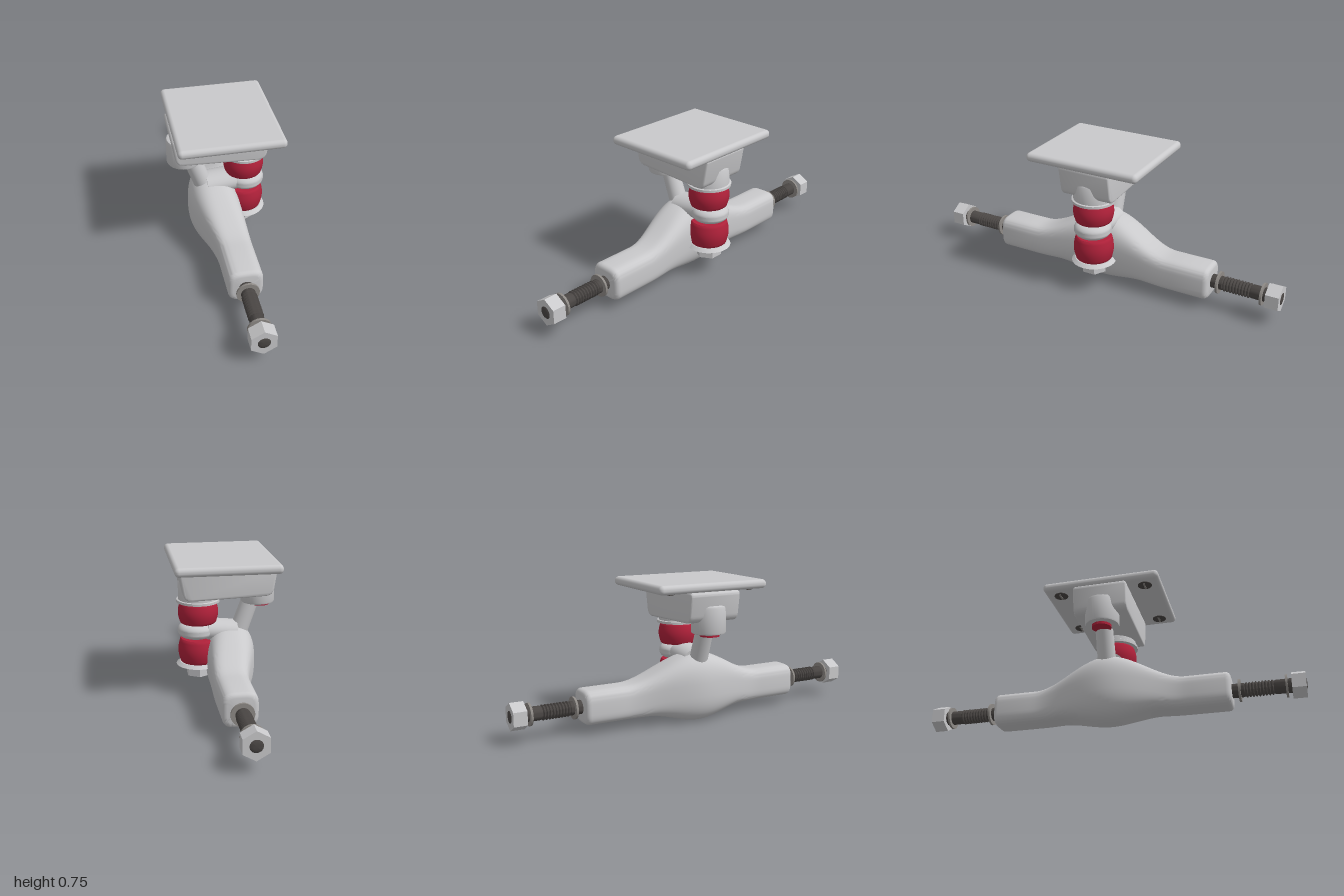
import * as THREE from 'three';
import { toCreasedNormals } from 'three/addons/utils/BufferGeometryUtils.js';
import { RoundedBoxGeometry } from 'three/addons/geometries/RoundedBoxGeometry.js';

const material = (name, color) => {
  const m = new THREE.MeshStandardMaterial({ color });
  m.name = name;
  return m;
};

// Polygon outline with rounded corners; each point is [x, y, radius]
function roundedShape(points) {
  const shape = new THREE.Shape();
  const v = points.map((p) => new THREE.Vector2(p[0], p[1]));
  points.forEach((p, i) => {
    const prev = v[(i + v.length - 1) % v.length], next = v[(i + 1) % v.length];
    const a = v[i].clone().add(prev.clone().sub(v[i]).setLength(p[2]));
    const b = v[i].clone().add(next.clone().sub(v[i]).setLength(p[2]));
    if (i === 0) shape.moveTo(a.x, a.y); else shape.lineTo(a.x, a.y);
    shape.quadraticCurveTo(v[i].x, v[i].y, b.x, b.y);
  });
  shape.closePath();
  return shape;
}

// Turned part from [radius, height] pairs, listed bottom to top
const turned = (pairs, segments = 40) => toCreasedNormals(
  new THREE.LatheGeometry(pairs.map(([r, y]) => new THREE.Vector2(r, y)), segments), 0.6);

const smooth = (t) => THREE.MathUtils.smoothstep(t, 0, 1);

// Hanger body: rounded square ends swelling into a tall oval middle
function hangerGeometry() {
  const N = 56, half = 0.63, bevel = 0.025;
  const stations = [[-half, 0], [-half, 0.74]];
  for (let k = 1; k <= 4; k++) {
    const a = (k / 4) * Math.PI / 2;
    stations.push([-half + bevel * (1 - Math.cos(a)), 0.74 + 0.26 * Math.sin(a)]);
  }
  for (let k = 0; k <= 40; k++) stations.push([-0.44 + 0.022 * k, 1]);
  for (let k = 5; k >= 0; k--) stations.push([-stations[k][0], stations[k][1]]);
  const pos = [], index = [];
  stations.forEach(([z, s]) => {
    const t = smooth(1 - Math.abs(z) / 0.4), b = smooth(1 - Math.abs(z) / 0.28);
    const x0 = -0.08 - 0.09 * t, x1 = 0.098 - 0.004 * t;
    const y0 = 0.052 - 0.05 * b, y1 = 0.23 + 0.14 * t;
    const e = 2 / (3.8 - 1.2 * t);
    for (let j = 0; j <= N; j++) {
      const a = (j / N) * Math.PI * 2, c = Math.cos(a), d = Math.sin(a);
      pos.push((x0 + x1) / 2 + s * (x1 - x0) / 2 * Math.sign(c) * Math.abs(c) ** e,
        (y0 + y1) / 2 + s * (y1 - y0) / 2 * Math.sign(d) * Math.abs(d) ** e, z);
    }
  });
  for (let i = 0; i < stations.length - 1; i++) {
    for (let j = 0; j < N; j++) {
      const a = i * (N + 1) + j, c = a + N + 1;
      index.push(a, a + 1, c, a + 1, c + 1, c);
    }
  }
  const g = new THREE.BufferGeometry();
  g.setAttribute('position', new THREE.Float32BufferAttribute(pos, 3));
  g.setIndex(index);
  return toCreasedNormals(g, 0.8);
}

export function createModel() {
  const metal = material('cast metal', 0xc9c9cb);
  const red = material('red rubber', 0xb0213a);
  const dark = material('dark steel', 0x4a4644);
  const washerGrey = material('washer grey', 0x8e8a86);
  const model = new THREE.Group();
  model.name = 'truck';

  const add = (name, geometry, mat, x = 0, y = 0, z = 0, parent = model) => {
    const mesh = new THREE.Mesh(geometry, mat);
    mesh.name = name;
    mesh.position.set(x, y, z);
    parent.add(mesh);
    return mesh;
  };
  // Round bar between two points
  const bar = (name, from, to, r0, r1, mat) => {
    const a = new THREE.Vector3(...from), b = new THREE.Vector3(...to);
    const dir = b.clone().sub(a);
    const mid = a.clone().add(b).multiplyScalar(0.5);
    const mesh = add(name, new THREE.CylinderGeometry(r1, r0, dir.length(), 32), mat, mid.x, mid.y, mid.z);
    mesh.quaternion.setFromUnitVectors(new THREE.Vector3(0, 1, 0), dir.normalize());
    return mesh;
  };

  // Mounting plate and bolts
  add('mountingPlate', new RoundedBoxGeometry(0.54, 0.047, 0.626, 4, 0.022), metal, 0.009, 0.7335, 0);
  for (const x of [-0.184, 0.201]) {
    for (const z of [-0.23, 0.23]) {
      add('plateBolt', turned([[0, 0], [0.03, 0], [0.037, 0.004], [0.037, 0.012]], 24), dark, x, 0.703, z);
      add('boltSlot', new THREE.BoxGeometry(0.056, 0.003, 0.01), washerGrey, x, 0.7025, z);
    }
  }

  // Tapered base block
  const bevel = 0.012;
  const block = new THREE.ExtrudeGeometry(roundedShape([
    [-0.256, 0.7, 0.01], [-0.235, 0.567, 0.03], [0.205, 0.551, 0.03], [0.233, 0.7, 0.01],
  ]), { depth: 0.286 - 2 * bevel, bevelSize: bevel, bevelThickness: bevel, bevelSegments: 4, curveSegments: 6 });
  block.translate(0, 0, -0.143 + bevel);
  add('baseBlock', toCreasedNormals(block, 0.6), metal);

  // Pivot housing, cup and stem
  add('pivotHousing', turned([[0, 0.492], [0.08, 0.492], [0.087, 0.495], [0.09, 0.503],
    [0.09, 0.625], [0.086, 0.636], [0.076, 0.64], [0, 0.64]]), metal, -0.189);
  add('pivotCup', turned([[0, 0.478], [0.051, 0.478], [0.051, 0.5], [0, 0.5]]), red, -0.2);
  bar('pivotStem', [-0.04, 0.2, 0], [-0.156, 0.52, 0], 0.05, 0.046, metal);

  // Kingpin stack
  const stack = new THREE.Group();
  stack.name = 'kingpinStack';
  stack.position.x = 0.13;
  model.add(stack);
  const onPin = (name, geometry, mat, x = 0, y = 0) => add(name, geometry, mat, x, y, 0, stack);
  const bushing = (y0, y1) => {
    const h = y1 - y0, pts = [[0, y0], [0.092, y0]];
    for (let k = 0; k <= 10; k++) {
      pts.push([0.096 + 0.011 * Math.sin(Math.PI * k / 10), y0 + h * (0.03 + 0.094 * k)]);
    }
    return turned([...pts, [0.092, y1], [0, y1]]);
  };
  onPin('kingpinBoss', turned([[0, 0.515], [0.105, 0.515], [0.105, 0.612], [0.1, 0.62], [0, 0.62]]), metal);
  onPin('upperWasher', turned([[0, 0.506], [0.115, 0.506], [0.115, 0.519], [0.112, 0.521], [0, 0.521]]), metal);
  onPin('upperBushing', bushing(0.392, 0.506), red);
  onPin('kingpin', new THREE.CylinderGeometry(0.036, 0.036, 0.36, 24), dark, 0, 0.34);
  onPin('lowerBushing', bushing(0.175, 0.305), red);
  onPin('lowerWasher', turned([[0, 0.16], [0.118, 0.16], [0.1, 0.176], [0, 0.176]]), metal);
  onPin('kingpinNut', new THREE.CylinderGeometry(0.069, 0.069, 0.062, 6).toNonIndexed(), metal, 0, 0.13)
    .geometry.computeVertexNormals();
  const ring = [];
  for (let k = 0; k <= 24; k++) {
    const a = -Math.PI + (k / 24) * Math.PI * 2;
    ring.push([0.062 + 0.038 * Math.cos(a), 0.037 * Math.sin(a)]);
  }
  onPin('hangerRing', turned(ring, 48), metal, 0.01, 0.348);

  // Hanger and its arm to the ring
  add('hanger', hangerGeometry(), metal);
  bar('ringArm', [-0.07, 0.332, 0], [0.085, 0.35, 0], 0.06, 0.058, metal).scale.z = 1.35;

  // Axle ends, mirrored front and back
  for (const side of [0, Math.PI]) {
    const axle = new THREE.Group();
    axle.name = side ? 'backAxle' : 'frontAxle';
    axle.position.set(0.008, 0.141, 0);
    axle.rotation.x = side ? -Math.PI / 2 : Math.PI / 2;
    model.add(axle);
    const shaft = [[0.036, 0.6], [0.036, 0.69]];
    for (let k = 0; k < 9; k++) {
      const y = 0.695 + k * 0.016;
      shaft.push([0.032, y], [0.039, y + 0.005], [0.039, y + 0.009], [0.032, y + 0.014]);
    }
    shaft.push([0.036, 0.845], [0.038, 0.99], [0.03, 0.996], [0.016, 0.999], [0, 1]);
    add('axleShaft', turned(shaft, 28), dark, 0, 0, 0, axle);
    for (const y of [0.668, 0.9]) {
      add('axleWasher', new THREE.CylinderGeometry(0.058, 0.058, 0.011, 32), washerGrey, 0, y, 0, axle);
    }
    const nut = new THREE.CylinderGeometry(0.071, 0.071, 0.07, 6).toNonIndexed();
    nut.computeVertexNormals();
    add('axleNut', nut, metal, 0, 0.96, 0, axle);
  }
  return model;
}
